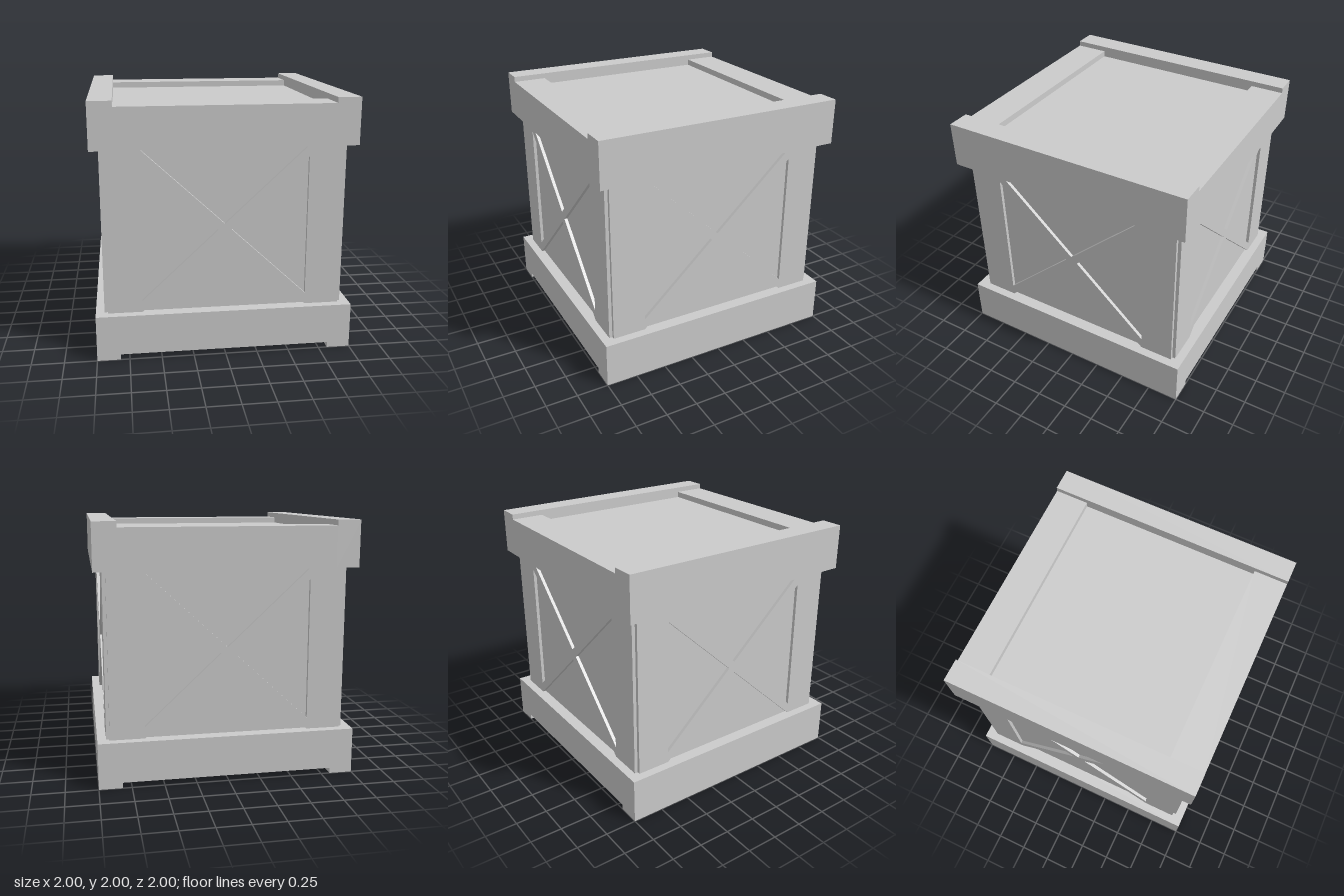
import * as THREE from 'three';

const CORE = 0.907;   // half size of the inner box
const PANEL = 0.933;  // outer face of the side panels
const RAIL = 0.36;    // height of the end rails

export function createModel() {
  const crate = new THREE.Group();
  crate.name = 'crate';
  const mat = new THREE.MeshStandardMaterial({ color: 0xcccccc, flatShading: true });

  const add = (name, geometry) => {
    const mesh = new THREE.Mesh(geometry, mat);
    mesh.name = name;
    crate.add(mesh);
    return mesh;
  };
  const box = (name, w, h, d, x, y, z) =>
    add(name, new THREE.BoxGeometry(w, h, d)).position.set(x, y, z);

  // Inner box, whose faces show through the panel openings
  box('innerBox', CORE * 2, CORE * 2, CORE * 2, 0, 1, 0);

  // Cross-braced panel: a plate with four triangular openings
  const half = 1 - RAIL;
  const plate = new THREE.Shape([
    [-CORE, -0.7], [CORE, -0.7], [CORE, 0.7], [-CORE, 0.7],
  ].map(([x, y]) => new THREE.Vector2(x, y)));
  for (const s of [-1, 1]) {
    const side = [[0.05 * s, 0], [half * s, 0.55], [half * s, -0.55]];
    const end = [[0, 0.045 * s], [half, half * s], [-half, half * s]];
    for (const tri of [side, end]) {
      plate.holes.push(new THREE.Path(tri.map(([x, y]) => new THREE.Vector2(x, y))));
    }
  }
  const panelGeometry = new THREE.ExtrudeGeometry(plate, { depth: PANEL - CORE, bevelEnabled: false });
  panelGeometry.translate(0, 0, CORE);
  ['frontPanel', 'leftPanel', 'backPanel', 'rightPanel'].forEach((name, i) => {
    const panel = add(name, panelGeometry);
    panel.position.y = 1;
    panel.rotation.y = i * Math.PI / 2;
  });

  // Rails at top and bottom: tall ones at the sides, thinner ones front and back
  const thin = RAIL - 0.043;
  for (const v of [-1, 1]) {
    const level = v > 0 ? 'top' : 'bottom';
    for (const s of [-1, 1]) {
      box(level + (s > 0 ? 'LeftRail' : 'RightRail'), 0.18, RAIL, 2, s * 0.91, 1 + v * (1 - RAIL / 2), 0);
      box(level + (s > 0 ? 'FrontRail' : 'BackRail'), 1.64, thin, 0.27, 0, 1 + v * (half + thin / 2), s * 0.865);
    }
  }
  return crate;
}
